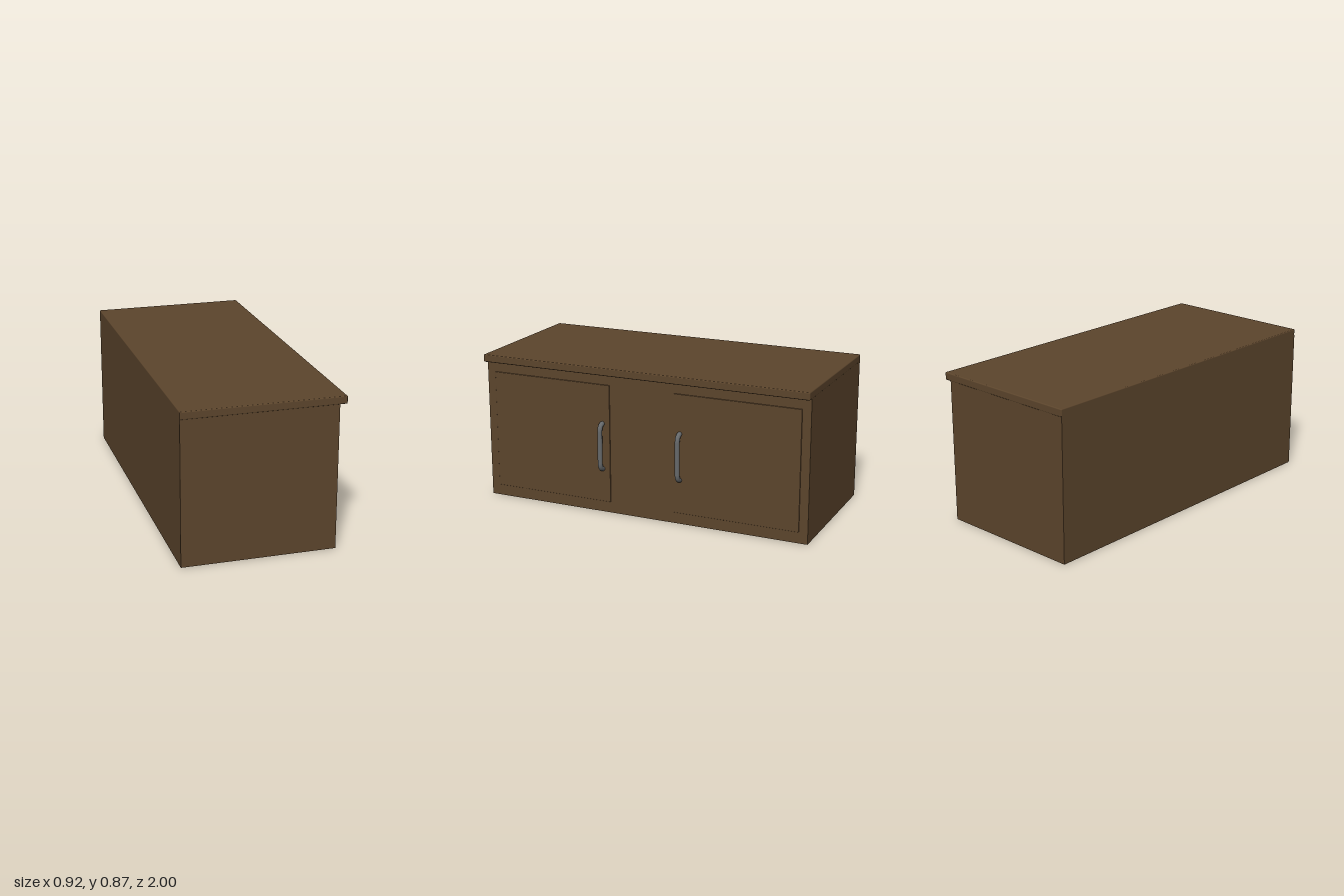
import * as THREE from 'three';
import { RoundedBoxGeometry } from 'three/addons/geometries/RoundedBoxGeometry.js';

const wood = new THREE.MeshStandardMaterial({ color: 0x5c452c });
const metal = new THREE.MeshStandardMaterial({ color: 0x66696b });

// Box given by its lower and upper corners, with an optional edge rounding
function block(name, [x0, y0, z0], [x1, y1, z1], round = 0) {
  const size = [x1 - x0, y1 - y0, z1 - z0];
  const geometry = round
    ? new RoundedBoxGeometry(...size, 3, round)
    : new THREE.BoxGeometry(...size);
  const mesh = new THREE.Mesh(geometry, wood);
  mesh.name = name;
  mesh.position.set((x0 + x1) / 2, (y0 + y1) / 2, (z0 + z1) / 2);
  return mesh;
}

// Bent bar whose ends run into the door
function handle(name, z) {
  const door = 0.405, bar = 0.446, low = 0.264, high = 0.536, bend = 0.04;
  const p = (x, y) => new THREE.Vector3(x, y, z);
  const path = new THREE.CurvePath();
  path.add(new THREE.QuadraticBezierCurve3(p(door, low), p(bar - 0.003, low), p(bar, low + bend)));
  path.add(new THREE.LineCurve3(p(bar, low + bend), p(bar, high - bend)));
  path.add(new THREE.QuadraticBezierCurve3(p(bar, high - bend), p(bar - 0.003, high), p(door, high)));
  const mesh = new THREE.Mesh(new THREE.TubeGeometry(path, 48, 0.014, 12), metal);
  mesh.name = name;
  return mesh;
}

export function createModel() {
  const model = new THREE.Group();
  model.name = 'cabinet';

  // Carcass and the top that overhangs the doors
  model.add(block('carcass', [-0.46, 0, -0.998], [0.408, 0.835, 0.998]));
  model.add(block('top', [-0.46, 0.828, -1], [0.45, 0.872, 1], 0.006));

  // Two shallow doors, each with a handle near the middle
  for (const [side, s] of [['left', -1], ['right', 1]]) {
    const [z0, z1] = [0.2 * s, 0.947 * s].sort((a, b) => a - b);
    model.add(block(side + 'Door', [0.39, 0.065, z0], [0.413, 0.765, z1], 0.003));
    model.add(handle(side + 'Handle', s > 0 ? 0.247 : -0.236));
  }
  return model;
}
